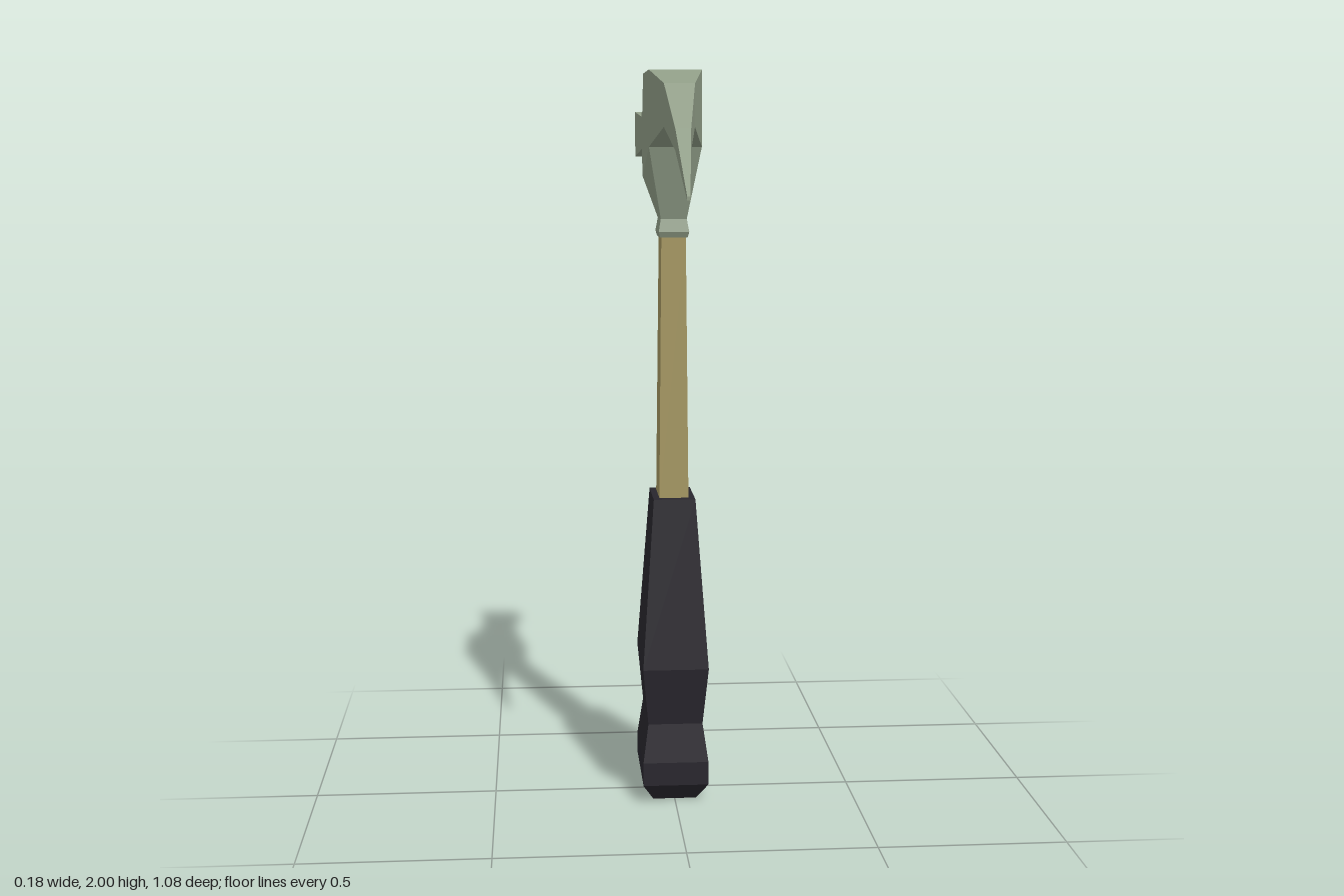
import * as THREE from 'three';

const material = (color) => new THREE.MeshStandardMaterial({ color, flatShading: true });

// Closed skin over four-cornered sections, each wound counter-clockwise about the direction of travel
function loft(name, sections, mat) {
  const pos = [];
  const quad = (a, b, c, d) => pos.push(...a, ...b, ...c, ...a, ...c, ...d);
  for (let s = 0; s < sections.length - 1; s++) {
    const p = sections[s], q = sections[s + 1];
    for (let i = 0; i < 4; i++) {
      const j = (i + 1) % 4;
      quad(p[i], p[j], q[j], q[i]);
    }
  }
  const first = sections[0], last = sections[sections.length - 1];
  quad(first[3], first[2], first[1], first[0]);
  quad(...last);
  const geometry = new THREE.BufferGeometry();
  geometry.setAttribute('position', new THREE.Float32BufferAttribute(pos, 3));
  geometry.computeVertexNormals();
  const mesh = new THREE.Mesh(geometry, mat);
  mesh.name = name;
  return mesh;
}

// Level section, half width hx and half depth hz
const level = ([y, hx, hz]) => [[hx, y, hz], [hx, y, -hz], [-hx, y, -hz], [-hx, y, hz]];
// Upright section, for travel from front to back
const upright = ([z, y0, y1, hx]) => [[-hx, y0, z], [-hx, y1, z], [hx, y1, z], [hx, y0, z]];

export function createModel() {
  const group = new THREE.Group();
  group.name = 'hammer';
  const steel = material(0x8f9c86);
  const wood = material(0xa39560);
  const rubber = material(0x28262d);

  // Handle
  group.add(loft('grip', [
    [0, 0.06, 0.095], [0.055, 0.09, 0.145], [0.12, 0.09, 0.145],
    [0.225, 0.075, 0.125], [0.385, 0.09, 0.147], [0.85, 0.057, 0.092],
  ].map(level), rubber));
  group.add(loft('shaft', [[0.84, 0.04, 0.067], [1.57, 0.033, 0.053]].map(level), wood));

  // Collar and flared neck, whose top slopes down towards the back
  group.add(loft('collar', [
    [1.56, 0.037, 0.062], [1.575, 0.041, 0.069], [1.61, 0.035, 0.06],
  ].map(level), steel));
  group.add(loft('neck', [
    level([1.61, 0.035, 0.06]),
    [[0.07, 1.8, 0.115], [0.07, 1.72, -0.165], [-0.07, 1.72, -0.165], [-0.07, 1.8, 0.115]],
  ], steel));

  // Head from claw tip, through the cheek, to the striking face
  group.add(loft('head', [
    [0.54, 1.67, 1.68, 0.004],
    [0.37, 1.79, 1.845, 0.02],
    [0.25, 1.85, 1.96, 0.04],
    [0.115, 1.8, 2, 0.07],
    [-0.14, 1.727, 2, 0.07],
    [-0.17, 1.72, 1.9, 0.07],
    [-0.22, 1.84, 1.895, 0.07],
    [-0.42, 1.81, 1.88, 0.045],
    [-0.54, 1.775, 1.905, 0.07],
  ].map(upright), steel));

  return group;
}
